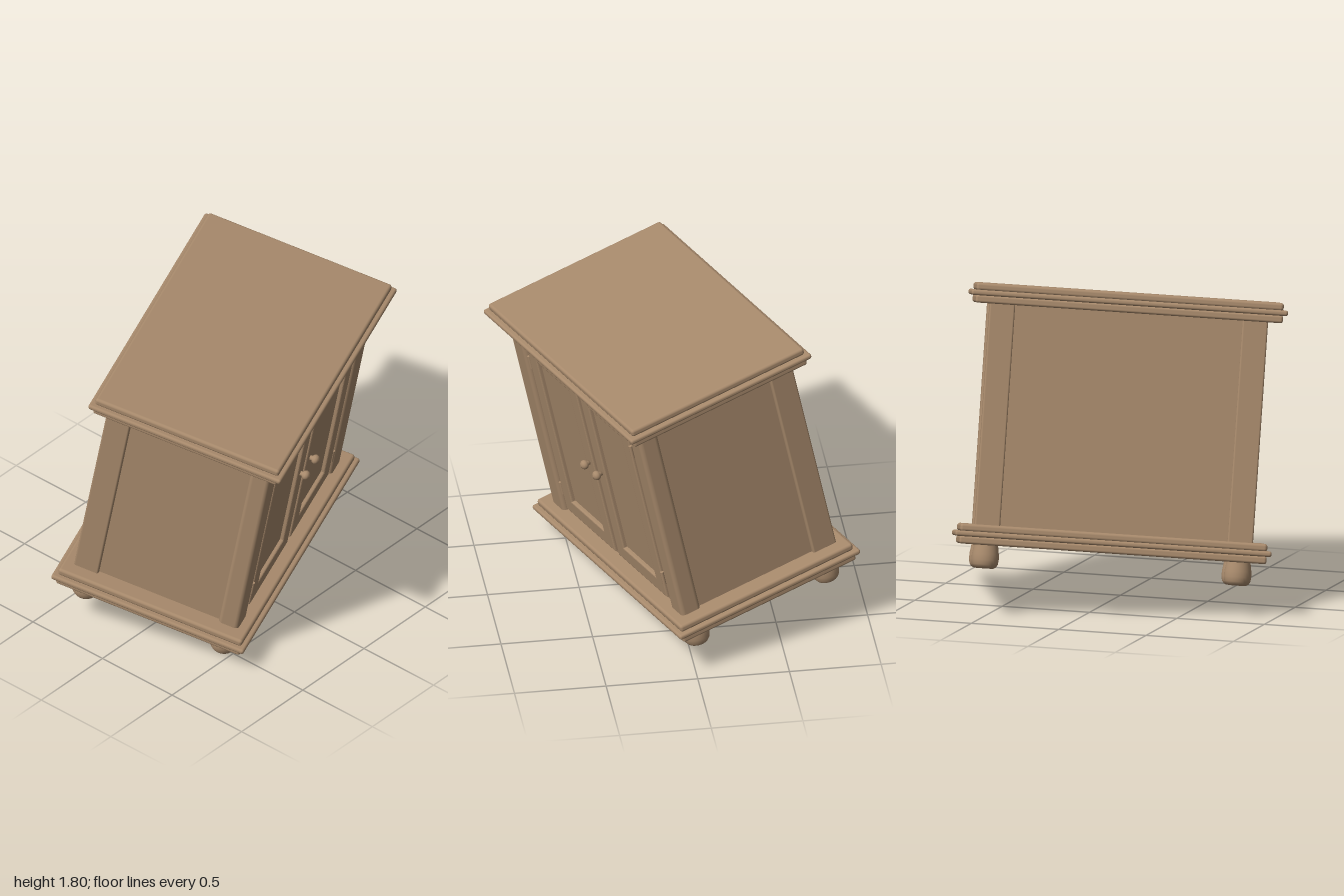
import * as THREE from 'three';
import { RoundedBoxGeometry } from 'three/addons/geometries/RoundedBoxGeometry.js';

export function createModel() {
  const wood = new THREE.MeshStandardMaterial({ color: 0xa88a6c });
  wood.name = 'wood';

  const cabinet = new THREE.Group();
  cabinet.name = 'cabinet';

  const add = (name, geometry, x = 0, y = 0, z = 0, parent = cabinet) => {
    const mesh = new THREE.Mesh(geometry, wood);
    mesh.name = name;
    mesh.position.set(x, y, z);
    parent.add(mesh);
    return mesh;
  };

  // Rounded block given by its limits on each axis
  const block = (name, [x0, x1], [y0, y1], [z0, z1], r) =>
    add(name, new RoundedBoxGeometry(x1 - x0, y1 - y0, z1 - z0, 3, r),
      (x0 + x1) / 2, (y0 + y1) / 2, (z0 + z1) / 2);

  // Moulded slab: wide middle layer between two slightly smaller ones
  const slab = (name, y) => {
    const layers = [[0, 0.042, 0.025], [0.04, 0.07, 0], [0.066, 0.109, 0.025]];
    layers.forEach(([lo, hi, inset], i) => {
      const w = 0.856 - inset, d = 0.566 - inset;
      block(name + 'Layer' + (i + 1), [-w, w], [y + lo, y + hi], [-d, d], i === 2 ? 0.016 : 0.013);
    });
  };
  slab('base', 0.264);
  slab('top', 1.567);

  // Carcass with recessed side, back and front faces
  add('carcass', new THREE.BoxGeometry(1.46, 1.21, 0.914), 0, 0.97, -0.004);

  // Corner posts
  for (const s of [-1, 1]) {
    const side = s < 0 ? [-0.753, -0.615] : [0.615, 0.753];
    block('frontPost', side, [0.34, 1.6], [0.367, 0.484], 0.024);
    block('backPost', side, [0.34, 1.6], [-0.482, -0.34], 0.01);
  }

  // Doors: framed, with a recessed panel, knob and two hinges
  const W = 0.558, H = 1.115, B = 0.009;
  const rectangle = (Type, w, h) => {
    const p = new Type();
    p.moveTo(-w / 2, -h / 2);
    p.lineTo(w / 2, -h / 2);
    p.lineTo(w / 2, h / 2);
    p.lineTo(-w / 2, h / 2);
    p.closePath();
    return p;
  };
  const frameShape = rectangle(THREE.Shape, W - 2 * B, H - 2 * B);
  frameShape.holes.push(rectangle(THREE.Path, W - 0.19 + 2 * B, H - 0.186 + 2 * B));
  const frameGeometry = new THREE.ExtrudeGeometry(frameShape, {
    depth: 0.02, bevelEnabled: true, bevelThickness: B, bevelSize: B, bevelSegments: 3,
  });
  const knobProfile = [
    [0, -0.03], [0.013, -0.03], [0.013, -0.018], [0.022, -0.012], [0.027, 0],
    [0.024, 0.012], [0.015, 0.021], [0, 0.025],
  ].map(([r, y]) => new THREE.Vector2(r, y));
  const knobGeometry = new THREE.LatheGeometry(knobProfile, 24).rotateX(Math.PI / 2);
  const hingeGeometry = new THREE.CylinderGeometry(0.01, 0.01, 0.078, 12);

  for (const s of [-1, 1]) {
    const door = new THREE.Group();
    door.name = s < 0 ? 'rightDoor' : 'leftDoor';
    door.position.set(s * 0.299, 0.963, 0.449);
    cabinet.add(door);
    add('doorFrame', frameGeometry, 0, 0, 0, door);
    add('doorPanel', new THREE.BoxGeometry(W - 0.17, H - 0.17, 0.01), 0, 0, 0.001, door);
    add('knob', knobGeometry, -s * 0.229, 0.014, 0.059, door);
    for (const y of [0.417, -0.423]) add('hinge', hingeGeometry, s * 0.285, y, 0.025, door);
  }

  // Rounded bun feet
  const footProfile = [
    [0, 0.138], [0.045, 0.138], [0.06, 0.145], [0.07, 0.16], [0.074, 0.185],
    [0.073, 0.215], [0.068, 0.245], [0.064, 0.275],
  ].map(([r, y]) => new THREE.Vector2(r, y));
  const footGeometry = new THREE.LatheGeometry(footProfile, 32);
  for (const x of [-0.683, 0.683]) for (const z of [-0.406, 0.406]) add('foot', footGeometry, x, 0, z);

  // Turned to one side and tipped forward
  cabinet.rotation.set(THREE.MathUtils.degToRad(11.8), THREE.MathUtils.degToRad(20), 0);
  cabinet.position.set(0, 0, -0.205);

  const model = new THREE.Group();
  model.name = 'model';
  model.add(cabinet);
  return model;
}
